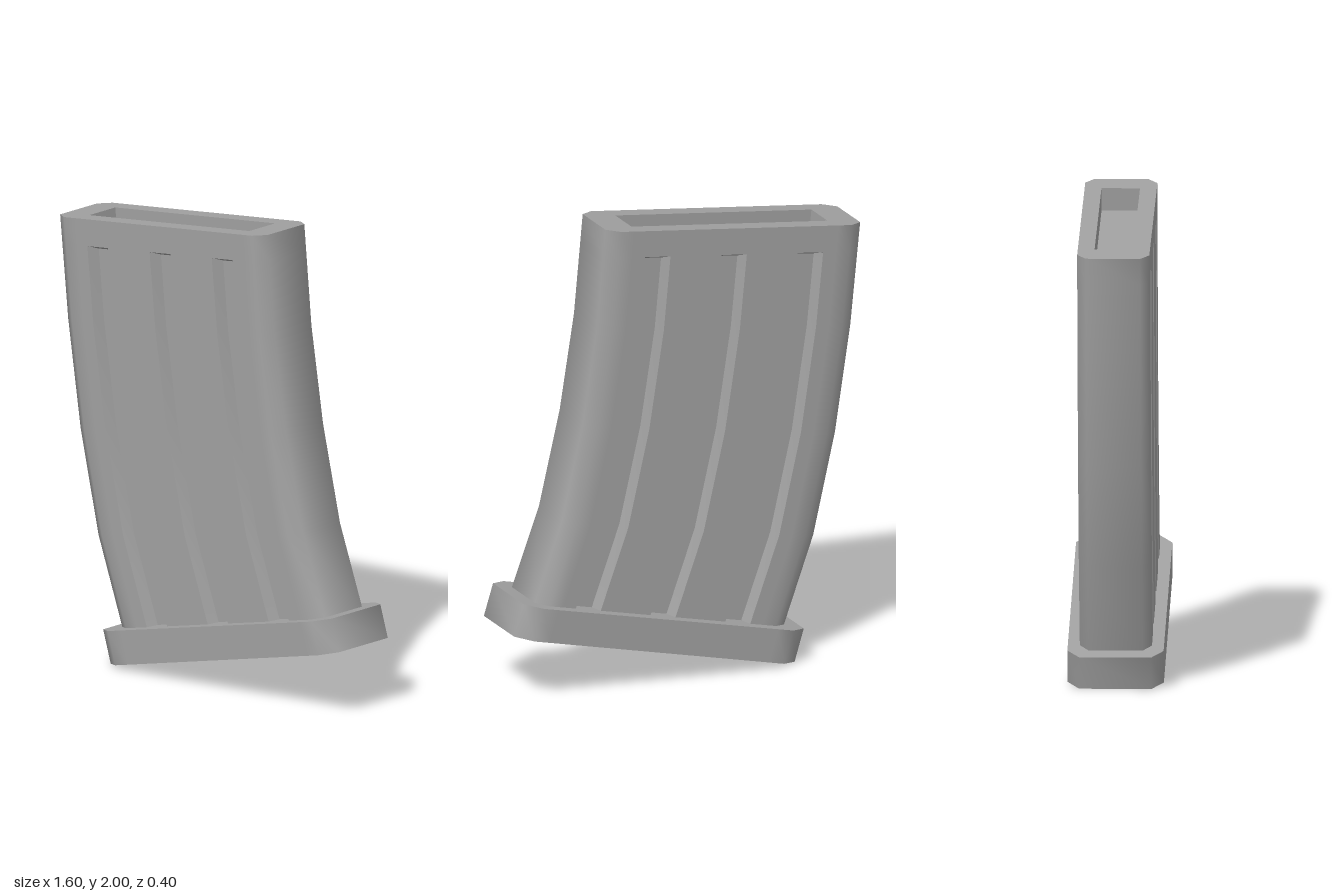
import * as THREE from 'three';
import { toCreasedNormals } from 'three/addons/utils/BufferGeometryUtils.js';

// Skin a list of rings, running from top to bottom, with smooth chamfers and sharp corners
function loft(rings) {
  const pos = [];
  const ab = new THREE.Vector3(), ac = new THREE.Vector3();
  const tri = (a, b, c) => {
    ab.subVectors(b, a);
    ac.subVectors(c, a);
    if (ab.cross(ac).length() < 1e-8) return; // skip collapsed faces
    for (const p of [a, b, c]) pos.push(p.x, p.y, p.z);
  };
  for (let i = 0; i < rings.length - 1; i++) {
    const up = rings[i], low = rings[i + 1], n = up.length;
    for (let k = 0; k < n; k++) {
      const m = (k + 1) % n;
      tri(up[k], low[k], low[m]);
      tri(up[k], low[m], up[m]);
    }
  }
  const geo = new THREE.BufferGeometry();
  geo.setAttribute('position', new THREE.Float32BufferAttribute(pos, 3));
  return toCreasedNormals(geo, Math.PI / 3);
}

// Ring from a half profile of [u, z]: u runs from the left to the right edge point
function ring([l, r], profile) {
  const at = (u, z) => new THREE.Vector3(l[0] + (r[0] - l[0]) * u, l[1] + (r[1] - l[1]) * u, z);
  return [
    ...profile.map(([u, z]) => at(u, z)),
    ...[...profile].reverse().map(([u, z]) => at(u, -z)),
  ];
}

// Curved side edges of the body, top to bottom
const LEFT = [[-0.8, 1.87], [-0.755, 1.43], [-0.685, 0.97], [-0.585, 0.53], [-0.44, 0.125]];
const RIGHT = [[0.365, 2], [0.405, 1.57], [0.47, 1.16], [0.565, 0.75], [0.7, 0.38]];

function edgesAt(t) {
  const i = Math.min(Math.floor(t), LEFT.length - 2), f = t - i;
  return [LEFT, RIGHT].map((e) => [0, 1].map((c) => e[i][c] + (e[i + 1][c] - e[i][c]) * f));
}

// Half profile of the body; the three grooves are either closed or cut in
function bodyProfile(cut) {
  const p = [[0, 0.113], [0.047, 0.15], [0.1, 0.15]];
  const inset = cut ? 0.018 : 0, floor = cut ? 0.105 : 0.15;
  for (const u of [0.15, 0.45, 0.75]) {
    p.push([u, 0.15], [u + inset, floor], [u + 0.1 - inset, floor], [u + 0.1, 0.15]);
  }
  p.push([0.9, 0.15], [0.953, 0.15], [1, 0.113]);
  return p;
}

function bodyGeometry() {
  const closed = bodyProfile(false), grooved = bodyProfile(true);
  const opening = (z) => closed.map(([u]) => [THREE.MathUtils.clamp(u, 0.115, 0.885), z]);
  return loft([
    // recess in the top
    ring(edgesAt(0.22), opening(0)),
    ring(edgesAt(0.22), opening(0.08)),
    ring(edgesAt(0), opening(0.08)),
    // outer shell
    ring(edgesAt(0), closed),
    ring(edgesAt(0.26), closed),
    ...[0.3, 1, 2, 3, 4].map((t) => ring(edgesAt(t), grooved)),
  ]);
}

function baseGeometry() {
  const profile = [[0, 0.15], [0.055, 0.2], [0.11, 0.2], [0.89, 0.2], [0.945, 0.2], [1, 0.15]];
  const middle = profile.map(([u]) => [u, 0]);
  const top = [[-0.525, 0.14], [0.758, 0.427]];
  const bottom = [[-0.483, 0], [0.8, 0.29]];
  return loft([ring(top, middle), ring(top, profile), ring(bottom, profile), ring(bottom, middle)]);
}

export function createModel() {
  const group = new THREE.Group();
  group.name = 'magazine';
  const grey = new THREE.MeshStandardMaterial({ color: 0xa0a0a0 });
  grey.name = 'grey';

  const body = new THREE.Mesh(bodyGeometry(), grey);
  body.name = 'groovedBody';
  const base = new THREE.Mesh(baseGeometry(), grey);
  base.name = 'basePlate';
  group.add(body, base);
  return group;
}
